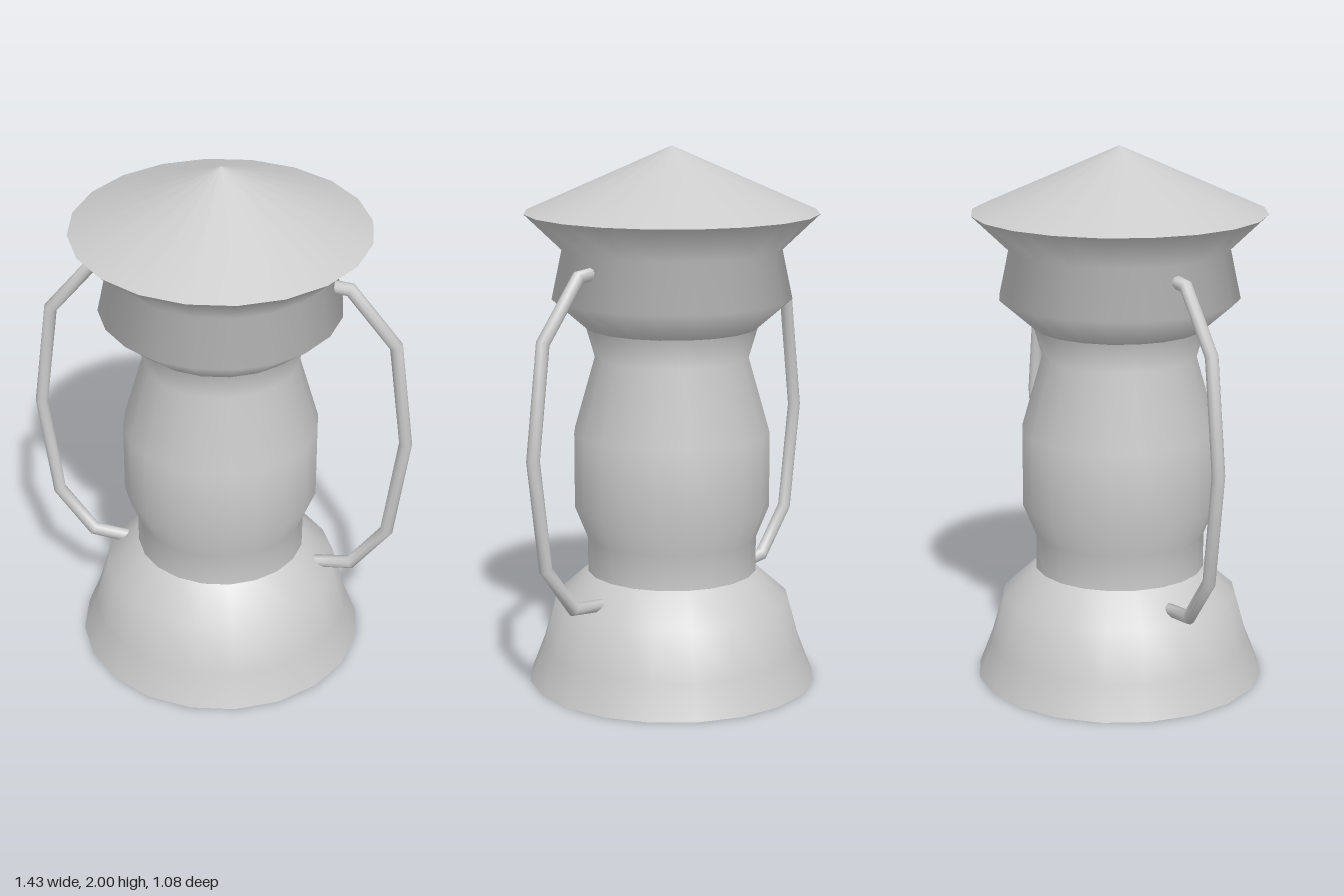
import * as THREE from 'three';

const SIDES = 20;
const material = new THREE.MeshStandardMaterial({ color: 0xcccccc });

// Smooth turned part; separate parts meet in sharp edges
function turned(name, profile) {
  const points = profile.map(([r, y]) => new THREE.Vector2(r, y));
  const mesh = new THREE.Mesh(new THREE.LatheGeometry(points, SIDES), material);
  mesh.name = name;
  return mesh;
}

// Round bar swept along a path in the xy plane, with mitred corners
function bentBar(path, radius, sides) {
  const pts = path.map(([x, y]) => new THREE.Vector2(x, y));
  const last = pts.length - 1;
  const positions = [], index = [];
  pts.forEach((p, i) => {
    const before = pts[Math.max(i, 1)].clone().sub(pts[Math.max(i, 1) - 1]).normalize();
    const j = Math.min(i, last - 1);
    const after = pts[j + 1].clone().sub(pts[j]).normalize();
    const t = before.clone().add(after).normalize();
    const mitre = radius / t.dot(after);
    for (let k = 0; k < sides; k++) {
      const a = (k / sides) * Math.PI * 2;
      const w = Math.cos(a) * mitre;
      positions.push(p.x - t.y * w, p.y + t.x * w, Math.sin(a) * radius);
      if (i < last) {
        const k2 = (k + 1) % sides;
        const a0 = i * sides + k, a1 = i * sides + k2;
        index.push(a0, a1, a0 + sides, a1, a1 + sides, a0 + sides);
      }
    }
  });
  // End caps
  for (let k = 1; k < sides - 1; k++) {
    const e = last * sides;
    index.push(0, k + 1, k, e, e + k, e + k + 1);
  }
  const geometry = new THREE.BufferGeometry();
  geometry.setAttribute('position', new THREE.Float32BufferAttribute(positions, 3));
  geometry.setIndex(index);
  geometry.computeVertexNormals();
  return geometry;
}

export function createModel() {
  const lantern = new THREE.Group();
  lantern.name = 'lantern';

  // Body, from the ground up
  lantern.add(
    turned('baseUnderside', [[0, 0], [0.54, 0]]),
    turned('base', [[0.54, 0], [0.49, 0.13], [0.44, 0.31], [0.317, 0.42]]),
    turned('collar', [[0.317, 0.42], [0.317, 0.55], [0.365, 0.67], [0.365, 0.95], [0.285, 1.23], [0.317, 1.34]]),
    turned('cap', [[0.317, 1.34], [0.443, 1.45], [0.405, 1.63], [0.54, 1.76]]),
    turned('roof', [[0.54, 1.76], [0, 2]]),
  );

  // Side handles, from base to cap
  const bar = bentBar([
    [0.37, 0.352], [0.507, 0.367], [0.64, 0.54], [0.693, 0.945],
    [0.64, 1.355], [0.468, 1.567], [0.38, 1.575],
  ], 0.024, 10);
  ['leftHandle', 'rightHandle'].forEach((name, i) => {
    const handle = new THREE.Mesh(bar, material);
    handle.name = name;
    handle.rotation.y = i * Math.PI;
    lantern.add(handle);
  });

  return lantern;
}
